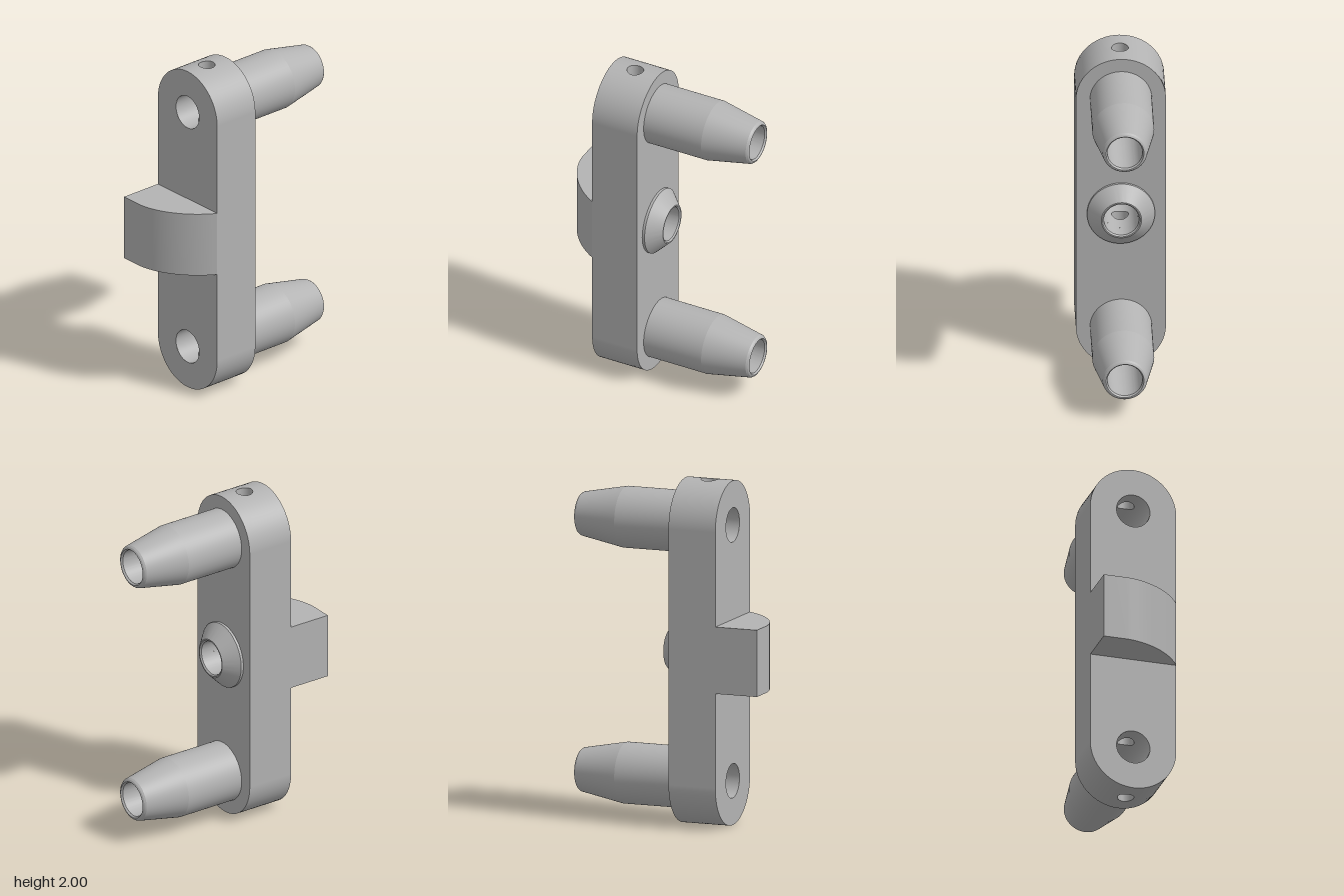
import * as THREE from 'three';
import { toCreasedNormals } from 'three/addons/utils/BufferGeometryUtils.js';
import { ParametricGeometry } from 'three/addons/geometries/ParametricGeometry.js';

const BACK = -0.34, FRONT = -0.05;           // plate faces along x
const MID = (BACK + FRONT) / 2, HALF = (FRONT - BACK) / 2;
const R = 0.257, BORE = 0.1, DRILL = 0.048;  // end radius, bore radius, cross hole radius
const LOW = R, CENTRE = 1, HIGH = 2 - R;     // heights of the three bores

// Half cylinder along x, with the round cross hole cut through its crown
function drilledHalf(radius, inward) {
  return new ParametricGeometry((u, v, p) => {
    const a = (inward ? -1 : 1) * u * Math.PI * 2;
    const c = Math.cos(a), s = Math.sin(a), m = Math.max(Math.abs(c), Math.abs(s));
    const x = THREE.MathUtils.lerp(DRILL * c, HALF * c / m, v);
    const t = THREE.MathUtils.lerp(Math.asin(DRILL * s / radius), Math.PI / 2 * s / m, v);
    p.set(x, radius * Math.cos(t), radius * Math.sin(t));
  }, 96, 14);
}

// Wall of the cross hole between two cylinder surfaces [centre height, signed radius]
function drillWall(from, to) {
  const edge = ([h, r], z) => h + Math.sign(r) * Math.sqrt(r * r - z * z);
  return new ParametricGeometry((u, v, p) => {
    const a = u * Math.PI * 2, z = DRILL * Math.sin(a);
    p.set(MID + DRILL * Math.cos(a), THREE.MathUtils.lerp(edge(from, z), edge(to, z), v), z);
  }, 40, 1);
}

// Pill-shaped plate face with round holes
function plateFace(heights) {
  const shape = new THREE.Shape();
  shape.absarc(0, HIGH, R, 0, Math.PI);
  shape.absarc(0, LOW, R, Math.PI, Math.PI * 2);
  shape.closePath();
  for (const h of heights) {
    shape.holes.push(new THREE.Path().absarc(0, h, BORE, 0, Math.PI * 2, true));
  }
  return new THREE.ShapeGeometry(shape, 48);
}

// Turned part along +x from [radius, x] pairs
function turned(profile) {
  const lathe = new THREE.LatheGeometry(profile.map(([r, x]) => new THREE.Vector2(r, x)), 72);
  return toCreasedNormals(lathe.rotateZ(-Math.PI / 2), 0.15);
}

export function createModel() {
  const grey = new THREE.MeshStandardMaterial({ color: 0xb3b3b3 });
  grey.name = 'grey';
  const model = new THREE.Group();
  model.name = 'doublePinBracket';
  const add = (name, geometry, x = 0, y = 0, z = 0, parent = model) => {
    const mesh = new THREE.Mesh(geometry, grey);
    mesh.name = name;
    mesh.position.set(x, y, z);
    parent.add(mesh);
    return mesh;
  };

  // Plate: two faces, two straight sides, two rounded ends
  const plate = new THREE.Group();
  plate.name = 'plate';
  model.add(plate);
  add('plateFront', plateFace([LOW, CENTRE, HIGH]).rotateY(Math.PI / 2), FRONT, 0, 0, plate);
  add('plateBack', plateFace([LOW, HIGH]).rotateY(-Math.PI / 2), BACK, 0, 0, plate);
  for (const side of [1, -1]) {
    const wall = new THREE.PlaneGeometry(2 * HALF, HIGH - LOW);
    if (side < 0) wall.rotateY(Math.PI);
    add('plateSide', wall, MID, CENTRE, side * R, plate);
    const end = drilledHalf(R, false);
    if (side < 0) end.rotateX(Math.PI);
    add('plateEnd', end, MID, side > 0 ? HIGH : LOW, 0, plate);
  }

  // Bores through the plate, each crossed by the vertical hole
  for (const h of [LOW, CENTRE, HIGH]) {
    add('boreUpper', drilledHalf(BORE, true), MID, h, 0, plate);
    add('boreLower', drilledHalf(BORE, true).rotateX(Math.PI), MID, h, 0, plate);
  }
  const stops = [[LOW, -R], [LOW, -BORE], [LOW, BORE], [CENTRE, -BORE],
    [CENTRE, BORE], [HIGH, -BORE], [HIGH, BORE], [HIGH, R]];
  for (let i = 0; i < stops.length; i += 2) {
    add('crossHole', drillWall(stops[i], stops[i + 1]), 0, 0, 0, plate);
  }

  // Hollow tapered pins
  const pin = turned([[0.177, FRONT], [0.177, 0.32], [0.13, 0.565], [0.127, 0.58],
    [0.12, 0.59], [0.112, 0.595], [0.108, 0.595], [BORE, 0.585], [BORE, FRONT]]);
  add('lowerPin', pin, 0, LOW);
  add('upperPin', pin, 0, HIGH);

  // Short conical boss around the blind centre bore
  add('centreBoss', turned([[0.194, FRONT], [0.194, -0.035], [0.115, 0.042],
    [0.108, 0.042], [BORE, 0.034], [BORE, FRONT]]), 0, CENTRE);

  // Rounded lug on the rear; its flat face closes the centre bore
  const lug = new THREE.Shape();
  lug.moveTo(BACK, R);
  lug.lineTo(-0.597, R);
  lug.lineTo(-0.597, 0.115);
  lug.bezierCurveTo(-0.59, -0.0, -0.51, -0.16, BACK, -R);
  lug.closePath();
  const lugBody = new THREE.ExtrudeGeometry(lug, { depth: 0.388, bevelEnabled: false, curveSegments: 24 });
  add('rearLug', toCreasedNormals(lugBody.rotateX(-Math.PI / 2), 0.3), 0, 0.806);

  return model;
}
